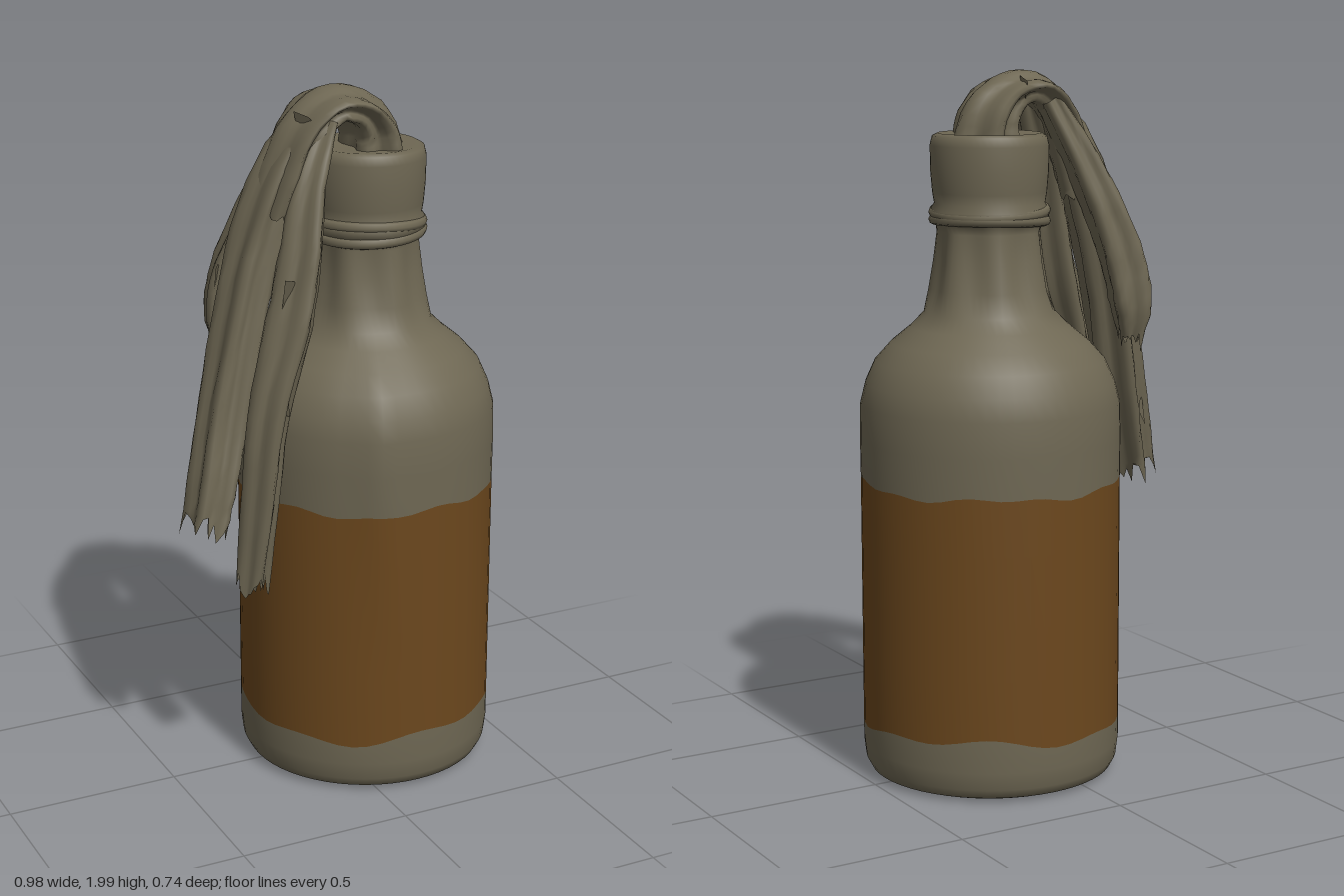
import * as THREE from 'three';
import { mergeVertices } from 'three/addons/utils/BufferGeometryUtils.js';

const CX = 0.12; // bottle axis
const LABEL_TOP = 0.855, LABEL_LOW = 0.165;

function mat(name, color, side = THREE.FrontSide) {
  const m = new THREE.MeshStandardMaterial({ color, side });
  m.name = name;
  return m;
}

function seeded(seed) {
  return () => {
    seed = (seed * 16807) % 2147483647;
    return seed / 2147483647;
  };
}

// Torn paper edge of the label, as a height offset around the bottle
const waveTop = a => 0.006 * Math.sin(5 * a + 1) + 0.005 * Math.sin(11 * a);
const waveLow = a => 0.013 * Math.sin(3 * a + 0.5) + 0.009 * Math.sin(7 * a + 2);

// Lathe band with slight dents, a shoulder ridge and wavy label edges
function band(profile) {
  const g = new THREE.LatheGeometry(profile.map(p => new THREE.Vector2(...p)), 56);
  const pos = g.attributes.position;
  const step = THREE.MathUtils.smoothstep;
  for (let i = 0; i < pos.count; i++) {
    const x = pos.getX(i), y = pos.getY(i), z = pos.getZ(i);
    const r = Math.hypot(x, z);
    if (r < 1e-5) continue;
    const a = Math.atan2(x, z);
    const ridge = 0.016 * Math.exp(-(((a + 0.35) / 0.13) ** 2)) * step(y, 0.4, 1.05) * (1 - step(y, 1.15, 1.35));
    const neck = 0.008 * Math.sin(7 * a + 1) * step(y, 1.3, 1.4) * (1 - step(y, 1.52, 1.6));
    const s = (r + ridge + neck) / r;
    let dy = 0;
    if (Math.abs(y - LABEL_TOP) < 1e-4) dy = waveTop(a);
    if (Math.abs(y - LABEL_LOW) < 1e-4) dy = waveLow(a);
    pos.setXYZ(i, x * s, y + dy, z * s);
  }
  g.deleteAttribute('uv');
  g.deleteAttribute('normal');
  const m = mergeVertices(g, 1e-5);
  m.computeVertexNormals();
  return m;
}

// Folded cloth swept along rows of [x, y, z, half width, half thickness]
function cloth(rows, folds, seed, ragged) {
  const rnd = seeded(seed);
  const path = new THREE.CatmullRomCurve3(rows.map(r => new THREE.Vector3(r[0], r[1], r[2])));
  const size = new THREE.CatmullRomCurve3(rows.map(r => new THREE.Vector3(r[3], r[4], 0)));
  const N = 22, M = 32;
  const verts = [], index = [];
  for (let i = 0; i <= N; i++) {
    const u = i / N;
    const c = path.getPoint(u), t = path.getTangent(u), s = size.getPoint(u);
    const side = new THREE.Vector3(0, 0, 1).addScaledVector(t, -t.z).normalize();
    const n = new THREE.Vector3().crossVectors(side, t);
    for (let j = 0; j < M; j++) {
      const a = (j / M) * Math.PI * 2;
      const f = 0.9 + 0.17 * Math.sin(folds * a + seed + 1.5 * u) + 0.08 * (rnd() - 0.5);
      const p = c.clone()
        .addScaledVector(side, s.x * Math.cos(a) * f)
        .addScaledVector(n, s.y * Math.sin(a) * f);
      if (i === N) p.addScaledVector(t, ragged * (rnd() - 0.5));
      verts.push(p.x, p.y, p.z);
      if (i < N) {
        const k = i * M, j2 = (j + 1) % M;
        index.push(k + j, k + j2, k + M + j, k + j2, k + M + j2, k + M + j);
      }
    }
  }
  const g = new THREE.BufferGeometry();
  g.setAttribute('position', new THREE.Float32BufferAttribute(verts, 3));
  g.setIndex(index);
  g.computeVertexNormals();
  return g;
}

export function createModel() {
  const model = new THREE.Group();
  const grey = mat('dustyGlass', 0x6e6753);
  const rag = mat('ragCloth', 0x6e6753, THREE.DoubleSide);
  const brown = mat('brownLabel', 0x6b471d);

  const add = (name, geometry, material, x = 0) => {
    const mesh = new THREE.Mesh(geometry, material);
    mesh.name = name;
    mesh.position.x = x;
    model.add(mesh);
    return mesh;
  };

  // Bottle: base, label band, then shoulder, neck and mouth
  add('bottleBase', band([
    [0, 0.004], [0.26, 0.004], [0.325, 0.005], [0.348, 0.014], [0.362, 0.04], [0.368, 0.09], [0.368, LABEL_LOW],
  ]), grey, CX);
  add('label', band([
    [0.368, LABEL_LOW], [0.368, 0.35], [0.368, 0.5], [0.368, 0.7], [0.368, LABEL_TOP],
  ]), brown, CX);
  add('bottleTop', band([
    [0.368, LABEL_TOP], [0.369, 0.97], [0.367, 1.07], [0.352, 1.13], [0.325, 1.19], [0.28, 1.24],
    [0.225, 1.285], [0.185, 1.325], [0.165, 1.39], [0.151, 1.47], [0.143, 1.55], [0.15, 1.575],
    [0.165, 1.59], [0.168, 1.61], [0.155, 1.63], [0.16, 1.66], [0.165, 1.72], [0.166, 1.79],
    [0.16, 1.815], [0.145, 1.823], [0.07, 1.815], [0, 1.815],
  ]), grey, CX);

  // Uneven patch under the base
  const patch = new THREE.Shape();
  for (let i = 0; i < 40; i++) {
    const a = (i / 40) * Math.PI * 2;
    const r = 0.262 + 0.008 * Math.sin(5 * a) + 0.006 * Math.sin(8 * a + 1);
    patch[i ? 'lineTo' : 'moveTo'](r * Math.cos(a), r * Math.sin(a));
  }
  add('basePatch', new THREE.ShapeGeometry(patch).rotateX(Math.PI / 2), brown, CX);

  // Cord wrapped twice round the neck
  [[1.582, 0.04], [1.608, -0.05]].forEach(([y, tilt]) => {
    const cord = add('neckCord', new THREE.TorusGeometry(0.155, 0.016, 8, 40).rotateX(Math.PI / 2), grey, CX);
    cord.position.y = y;
    cord.rotation.set(tilt, 0, tilt);
  });

  // Rag pushed into the mouth and arching over the rim
  add('ragArch', cloth([
    [0.14, 1.79, 0, 0.125, 0.085], [0.125, 1.87, 0, 0.12, 0.07], [0.07, 1.93, 0.01, 0.125, 0.05],
    [-0.01, 1.945, 0.015, 0.13, 0.045], [-0.09, 1.88, 0.02, 0.12, 0.05], [-0.14, 1.76, 0.02, 0.12, 0.06],
    [-0.18, 1.64, 0.02, 0.11, 0.06],
  ], 5, 3, 0.06), rag);

  // Long outer tail
  add('ragOuterTail', cloth([
    [-0.05, 1.92, 0, 0.08, 0.03], [-0.14, 1.79, 0, 0.1, 0.055], [-0.22, 1.58, 0, 0.1, 0.065],
    [-0.285, 1.35, 0.02, 0.095, 0.065], [-0.345, 1.1, 0.05, 0.09, 0.07], [-0.39, 0.93, 0.08, 0.09, 0.065],
    [-0.425, 0.81, 0.1, 0.085, 0.06],
  ], 5, 11, 0.09), rag);

  // Front tail hanging beside the bottle
  add('ragFrontTail', cloth([
    [-0.04, 1.91, 0.07, 0.05, 0.03], [-0.105, 1.76, 0.1, 0.07, 0.05], [-0.145, 1.57, 0.13, 0.085, 0.06],
    [-0.19, 1.38, 0.15, 0.09, 0.065], [-0.26, 1.15, 0.17, 0.08, 0.055], [-0.295, 0.9, 0.18, 0.07, 0.05],
    [-0.32, 0.65, 0.18, 0.05, 0.045],
  ], 4, 7, 0.08), rag);

  // Short flap at the back
  add('ragBackFlap', cloth([
    [-0.04, 1.91, -0.05, 0.05, 0.03], [-0.12, 1.76, -0.08, 0.06, 0.045], [-0.19, 1.6, -0.11, 0.07, 0.055],
    [-0.24, 1.46, -0.13, 0.07, 0.065], [-0.26, 1.34, -0.14, 0.07, 0.06], [-0.26, 1.24, -0.14, 0.045, 0.03],
  ], 4, 5, 0.08), rag);

  // Torn corners along the folds: [x, y, z, length, turn]
  [[-0.31, 1.5, -0.06, 0.09, 0.5], [0.05, 1.955, -0.06, 0.07, -0.9], [-0.1, 1.92, 0.08, 0.08, 1.0],
    [-0.2, 1.5, 0.19, 0.1, 0.2], [-0.24, 1.2, 0.22, 0.1, -0.3], [-0.38, 1.02, -0.02, 0.09, 0.4]]
    .forEach(([x, y, z, l, turn]) => {
      const scrap = new THREE.Shape();
      scrap.moveTo(-l * 0.4, -l * 0.6);
      scrap.lineTo(l * 0.4, -l * 0.5);
      scrap.lineTo(l * 0.1, l * 0.1);
      scrap.lineTo(-l * 0.25, l * 0.35);
      const mesh = add('tornCorner', new THREE.ShapeGeometry(scrap), rag, x);
      mesh.position.set(x, y, z);
      mesh.rotation.set(0.3, turn * 2, turn);
    });

  return model;
}
